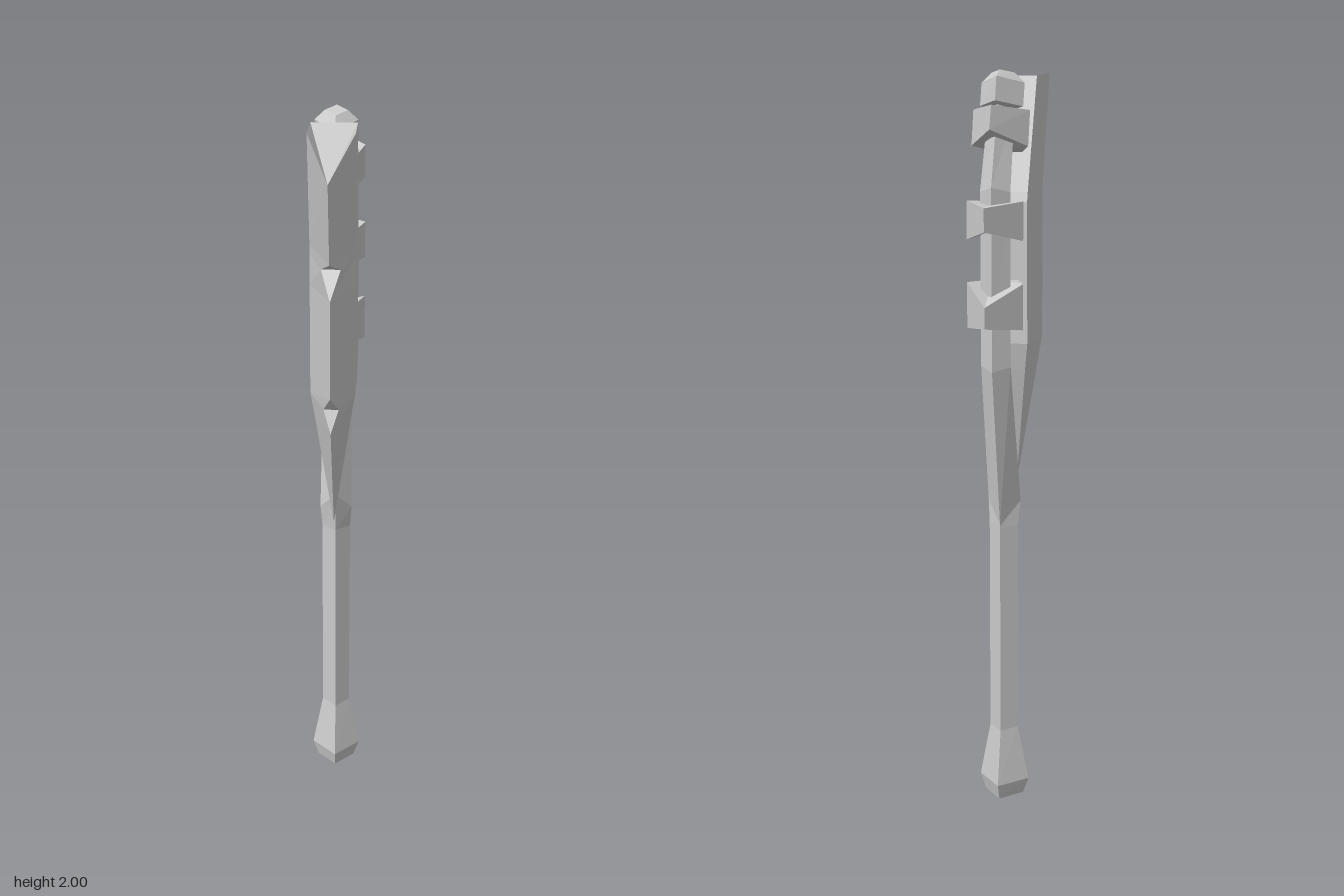
import * as THREE from 'three';

const material = new THREE.MeshStandardMaterial({ color: 0xcccccc, flatShading: true });

// Skin a stack of equal-length rings (bottom to top, counter-clockwise from above) and cap both ends.
function loft(name, rings) {
  const n = rings[0].length;
  const index = [];
  for (let r = 0; r < rings.length - 1; r++) {
    for (let i = 0; i < n; i++) {
      const j = (i + 1) % n;
      const a = r * n + i, b = r * n + j;
      index.push(a, b, b + n, a, b + n, a + n);
    }
  }
  const top = (rings.length - 1) * n;
  for (let i = 1; i < n - 1; i++) {
    index.push(0, i + 1, i, top, top + i, top + i + 1);
  }
  const indexed = new THREE.BufferGeometry();
  indexed.setAttribute('position', new THREE.Float32BufferAttribute(rings.flat(2), 3));
  indexed.setIndex(index);
  const geometry = indexed.toNonIndexed();
  geometry.computeVertexNormals();
  const mesh = new THREE.Mesh(geometry, material);
  mesh.name = name;
  return mesh;
}

// Diamond ring given by its front and back corners and its half width.
const diamond = ([zf, yf, zb, yb, w]) => {
  const y = (yf + yb) / 2, z = (zf + zb) / 2;
  return [[0, yf, zf], [w, y, z], [0, yb, zb], [-w, y, z]];
};

// Five-sided binding ring: flat front, wide middle, pointed back.
const bindingRing = ([zf, yf, zm, ym, zb, yb]) => [
  [0.035, yf, zf], [0.075, ym, zm], [0, yb, zb], [-0.075, ym, zm], [-0.035, yf, zf],
];

// Blade ring: cutting edge, side ridge and flat back, mirrored in x.
const bladeRing = ([ze, ye, e, zr, yr, zb, yb, w]) => [
  [e, ye, ze], [w, yr, zr], [w, yb, zb], [-w, yb, zb], [-w, yr, zr], [-e, ye, ze],
];

export function createModel() {
  const group = new THREE.Group();
  group.name = 'axe';

  // Bent handle with flared pommel: front z, front y, back z, back y, half width
  group.add(loft('handle', [
    [-0.06, 0, -0.175, 0, 0.055],
    [-0.045, 0.045, -0.19, 0.045, 0.07],
    [-0.08, 0.2, -0.16, 0.2, 0.04],
    [-0.08, 0.8, -0.16, 0.79, 0.04],
    [-0.063, 0.92, -0.16, 0.8, 0.045],
    [-0.16, 1.255, -0.237, 1.235, 0.04],
    [-0.162, 1.685, -0.24, 1.71, 0.04],
    [-0.1, 1.885, -0.175, 1.915, 0.035],
  ].map(diamond)));

  // Knob on the tip of the handle
  group.add(loft('handleKnob', [
    [-0.072, 1.893, -0.2, 1.925, 0.057],
    [-0.055, 1.95, -0.185, 1.985, 0.057],
    [-0.085, 1.985, -0.15, 2.0, 0.03],
  ].map(diamond)));

  // Bindings: lower and upper ring, each front, middle and back as z, y
  const bindings = [
    [[-0.1, 1.36, -0.205, 1.345, -0.307, 1.36], [-0.1, 1.46, -0.205, 1.465, -0.307, 1.415]],
    [[-0.105, 1.585, -0.205, 1.575, -0.31, 1.605], [-0.105, 1.665, -0.205, 1.675, -0.31, 1.665]],
    [[-0.062, 1.79, -0.155, 1.81, -0.255, 1.855], [-0.037, 1.87, -0.135, 1.9, -0.237, 1.915]],
  ];
  bindings.forEach((rings, i) => group.add(loft(`binding${i + 1}`, rings.map(bindingRing))));

  // Notched stone blade: edge z, y, half width; ridge z, y; back z, y; half width
  group.add(loft('blade', [
    [0.02, 0.875, 0, 0.02, 0.875, 0.02, 0.875, 0],
    [0.19, 1.215, 0, 0.065, 1.215, -0.08, 1.215, 0.049],
    [0.165, 1.275, 0.02, 0.07, 1.285, -0.1, 1.29, 0.06],
    [0.22, 1.325, 0, 0.07, 1.325, -0.1, 1.325, 0.06],
    [0.22, 1.585, 0, 0.07, 1.585, -0.105, 1.585, 0.06],
    [0.17, 1.655, 0.025, 0.065, 1.665, -0.105, 1.665, 0.06],
    [0.25, 1.69, 0, 0.067, 1.69, -0.098, 1.69, 0.06],
    [0.315, 1.905, 0, 0.145, 1.99, 0, 1.985, 0.06],
  ].map(bladeRing)));

  return group;
}
